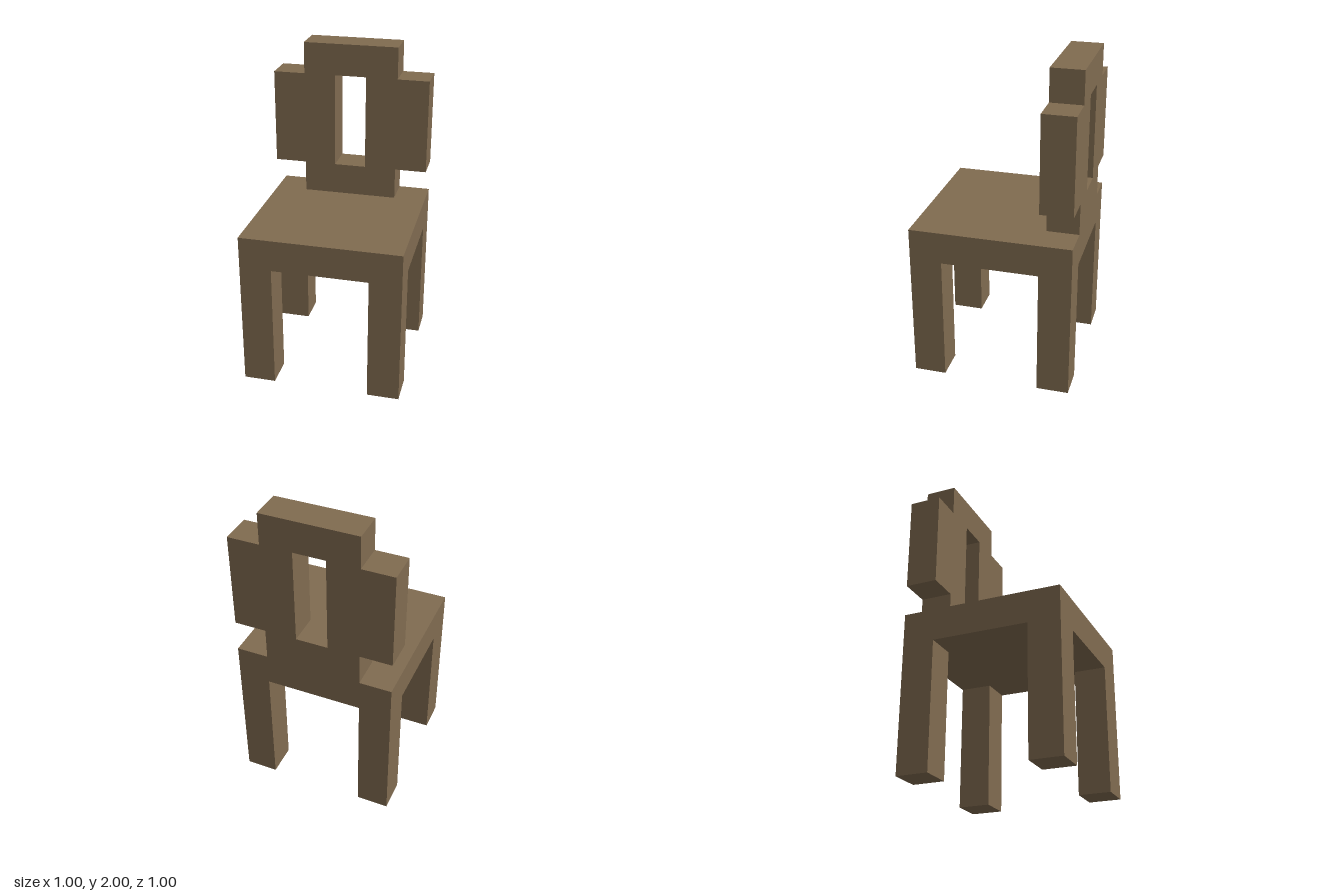
import * as THREE from 'three';

export function createModel() {
  const chair = new THREE.Group();
  chair.name = 'chair';
  const wood = new THREE.MeshStandardMaterial({ color: 0x806b50 });
  wood.name = 'brown wood';

  const add = (name, geometry, x, y, z) => {
    const mesh = new THREE.Mesh(geometry, wood);
    mesh.name = name;
    mesh.position.set(x, y, z);
    chair.add(mesh);
  };

  // Seat slab
  add('seat', new THREE.BoxGeometry(1, 0.2, 1), 0, 0.9, 0);

  // Four square legs, flush with the seat corners
  const leg = new THREE.BoxGeometry(0.2, 0.8, 0.2);
  for (const [side, x] of [['Left', 0.4], ['Right', -0.4]]) {
    add(`front${side}Leg`, leg, x, 0.4, 0.4);
    add(`back${side}Leg`, leg, x, 0.4, -0.4);
  }

  // Stepped backrest with a tall slot, mirrored from its right-hand outline
  const half = [[0.3, 0], [0.3, 0.2], [0.5, 0.2], [0.5, 0.8], [0.3, 0.8], [0.3, 1]];
  const mirrored = half.map(([x, y]) => [-x, y]).reverse();
  const points = [...half, ...mirrored].map(([x, y]) => new THREE.Vector2(x, y));
  const outline = new THREE.Shape(points);
  const slot = [[-0.1, 0.2], [-0.1, 0.8], [0.1, 0.8], [0.1, 0.2]];
  outline.holes.push(new THREE.Path(slot.map(([x, y]) => new THREE.Vector2(x, y))));
  const back = new THREE.ExtrudeGeometry(outline, { depth: 0.2, bevelEnabled: false });
  add('backrest', back, 0, 1, -0.5);

  return chair;
}
